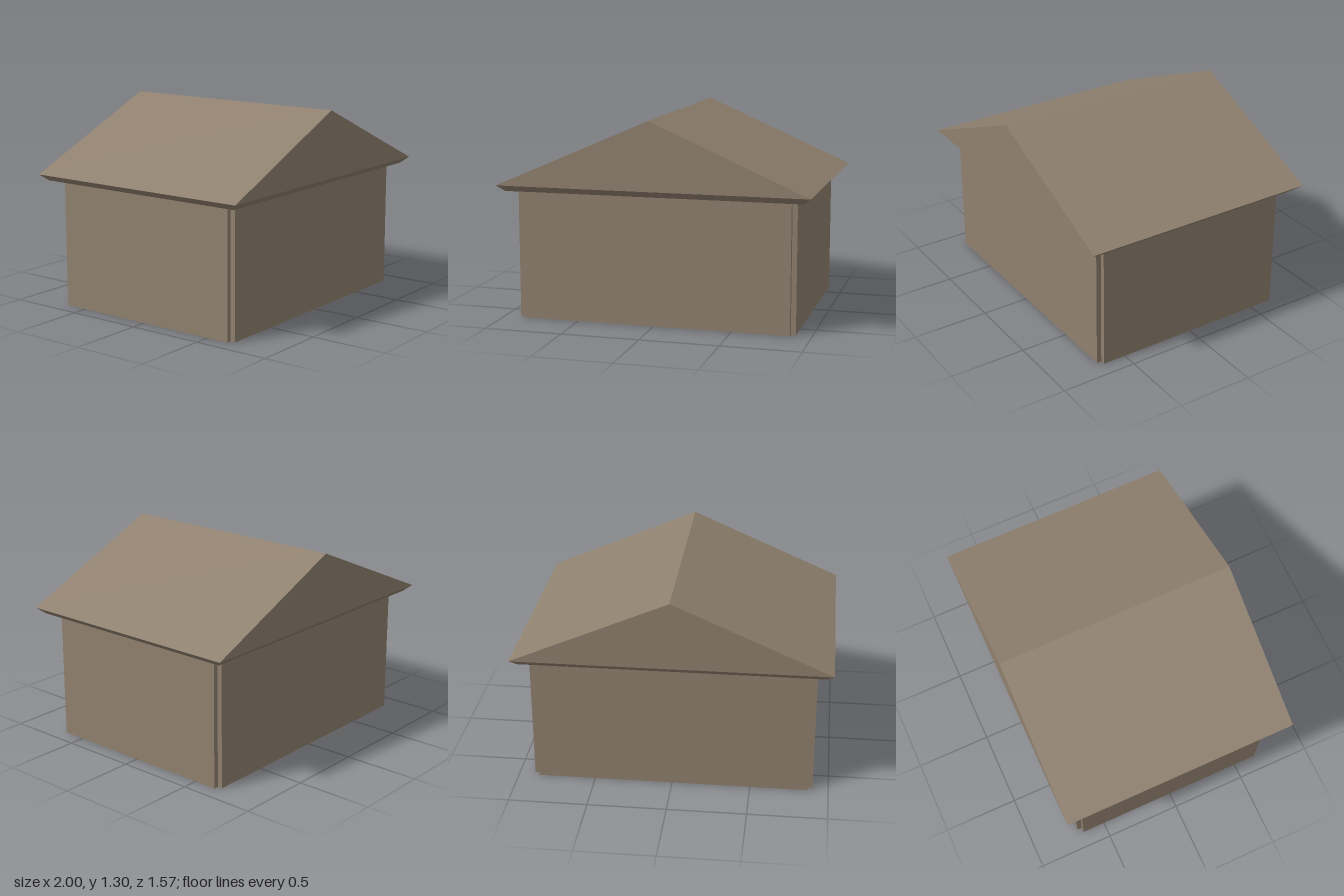
import * as THREE from 'three';

const HX = 0.9, HZ = 0.685, NOTCH = 0.032;   // wall half sizes, corner notch
const RX = 1, RZ = 0.785;                    // roof half sizes
const WALL_TOP = 0.83, EAVE = 0.87, RIDGE = 1.305, CHAMFER = 0.045;

// Flat-shaded geometry from convex polygons, corners counter-clockwise from outside
function facesGeometry(faces) {
  const pos = [];
  for (const f of faces)
    for (let i = 1; i < f.length - 1; i++) pos.push(...f[0], ...f[i], ...f[i + 1]);
  const g = new THREE.BufferGeometry();
  g.setAttribute('position', new THREE.Float32BufferAttribute(pos, 3));
  g.computeVertexNormals();
  return g;
}

// Rectangle corners at a height, counter-clockwise seen from above
const ring = (x, z, y) => [[x, y, z], [x, y, -z], [-x, y, -z], [-x, y, z]];

export function createModel() {
  const model = new THREE.Group();
  const brown = new THREE.MeshStandardMaterial({ color: 0x8f806e, side: THREE.DoubleSide });
  const add = (name, geometry) => {
    const mesh = new THREE.Mesh(geometry, brown);
    mesh.name = name;
    model.add(mesh);
    return mesh;
  };

  // Wall outline with a square notch at each corner
  const a = HX - NOTCH, b = HZ - NOTCH;
  const outline = [
    [HX, b], [HX, -b], [a, -b], [a, -HZ], [-a, -HZ], [-a, -b],
    [-HX, -b], [-HX, b], [-a, b], [-a, HZ], [a, HZ], [a, b],
  ];
  add('walls', facesGeometry(outline.map(([x, z], i) => {
    const [x2, z2] = outline[(i + 1) % outline.length];
    return [[x, 0, z], [x2, 0, z2], [x2, WALL_TOP, z2], [x, WALL_TOP, z]];
  })));

  // Floor, with a shallow slot behind the middle of the front wall
  const floorPoints = outline.map(([x, z]) => new THREE.Vector2(x, z));
  floorPoints.splice(10, 0,
    new THREE.Vector2(-0.2, HZ), new THREE.Vector2(-0.2, HZ - 0.05),
    new THREE.Vector2(0.2, HZ - 0.05), new THREE.Vector2(0.2, HZ));
  const floor = new THREE.ShapeGeometry(new THREE.Shape(floorPoints));
  floor.rotateX(Math.PI / 2);
  add('floor', floor);

  // Sloped eave band and flat soffit
  const low = ring(RX - CHAMFER, RZ - CHAMFER, WALL_TOP), high = ring(RX, RZ, EAVE);
  add('eaves', facesGeometry([
    ...low.map((p, i) => [p, low[(i + 1) % 4], high[(i + 1) % 4], high[i]]),
    [...low].reverse(),
  ]));

  // Gabled roof
  const [fr, br, bl, fl] = high;
  const ridgeFront = [0, RIDGE, RZ], ridgeBack = [0, RIDGE, -RZ];
  add('roofSlopes', facesGeometry([
    [fr, br, ridgeBack, ridgeFront],
    [bl, fl, ridgeFront, ridgeBack],
  ]));
  add('gables', facesGeometry([[fl, fr, ridgeFront], [br, bl, ridgeBack]]));

  return model;
}
